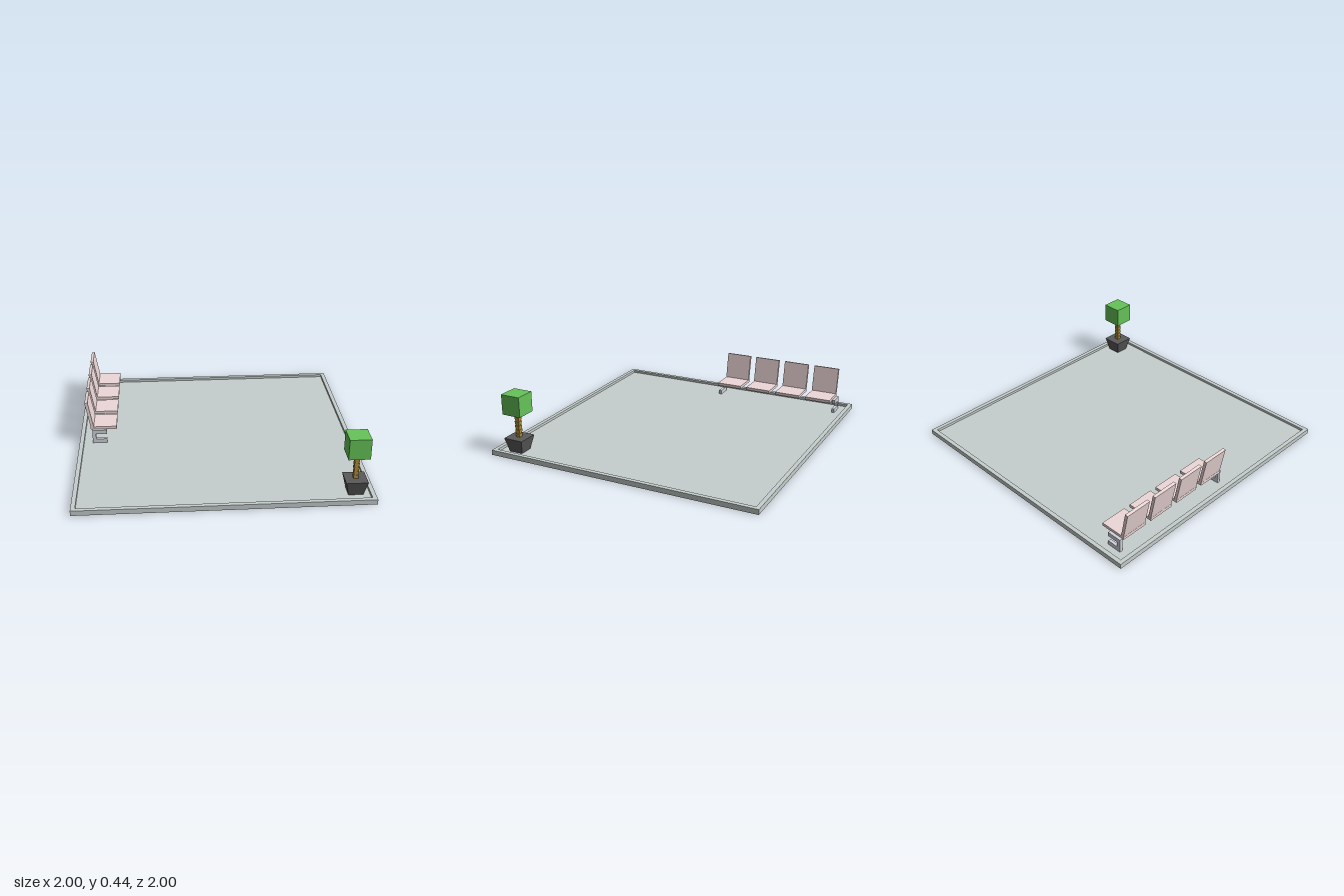
import * as THREE from 'three';

const paint = (color) => new THREE.MeshStandardMaterial({ color, flatShading: true });

export function createModel() {
  const root = new THREE.Group();
  root.name = 'waitingRoom';
  const floorY = 0.017;
  const mats = {
    floor: paint(0xc6cfcd), seat: paint(0xeed8d8), leg: paint(0xd2d5de),
    pot: paint(0x5a5a5a), trunk: paint(0xb8963c), leaf: paint(0x66c458),
  };

  const add = (parent, name, geometry, material, x = 0, y = 0, z = 0) => {
    const mesh = new THREE.Mesh(geometry, material);
    mesh.name = name;
    mesh.position.set(x, y, z);
    parent.add(mesh);
    return mesh;
  };
  const box = (w, h, d) => new THREE.BoxGeometry(w, h, d);
  // Square frustum with sides parallel to the axes
  const frustum = (top, bottom, h) =>
    new THREE.CylinderGeometry(top / Math.SQRT2, bottom / Math.SQRT2, h, 4).rotateY(Math.PI / 4);
  const square = (shape, s) => {
    shape.moveTo(-s, -s);
    shape.lineTo(s, -s);
    shape.lineTo(s, s);
    shape.lineTo(-s, s);
    shape.closePath();
    return shape;
  };

  // Floor slab with a raised border
  const border = square(new THREE.Shape(), 1);
  border.holes.push(square(new THREE.Path(), 0.97));
  const borderGeo = new THREE.ExtrudeGeometry(border, { depth: 0.036, bevelEnabled: false });
  add(root, 'floorBorder', borderGeo.rotateX(-Math.PI / 2), mats.floor);
  add(root, 'floor', box(1.94, floorY, 1.94), mats.floor, 0, floorY / 2, 0);

  // Row of four seats with reclined backs
  const bench = new THREE.Group();
  bench.name = 'bench';
  root.add(bench);
  for (let i = 0; i < 4; i++) {
    const z = -0.05 - i * 0.2475;
    add(bench, 'seat', box(0.19, 0.022, 0.197), mats.seat, -0.823, 0.127, z);
    const back = add(bench, 'seatBack', box(0.022, 0.197, 0.197), mats.seat, -0.923, 0.235, z);
    back.rotation.z = THREE.MathUtils.degToRad(10);
  }

  // C-shaped end legs, open towards the room
  const c = new THREE.Shape();
  [[0, 0], [0.105, 0], [0.105, 0.031], [0.026, 0.031], [0.026, 0.071],
    [0.105, 0.071], [0.105, 0.102], [0, 0.102]]
    .forEach(([x, y], i) => (i ? c.lineTo(x, y) : c.moveTo(x, y)));
  const legGeo = new THREE.ExtrudeGeometry(c, { depth: 0.022, bevelEnabled: false });
  for (const z of [0.049, -0.913]) add(bench, 'leg', legGeo, mats.leg, -0.906, floorY, z);

  // Potted plant with a ringed trunk and cubic crown
  const plant = new THREE.Group();
  plant.name = 'plant';
  plant.position.set(0.874, 0, 0.851);
  root.add(plant);
  add(plant, 'pot', frustum(0.148, 0.1, 0.103), mats.pot, 0, floorY + 0.0515, 0);
  add(plant, 'trunkCore', box(0.025, 0.19, 0.025), mats.trunk, 0, 0.21, 0);
  for (let i = 0; i < 6; i++) {
    add(plant, 'trunkRing', frustum(0.035, 0.031, 0.024), mats.trunk, 0, 0.133 + i * 0.0305, 0);
  }
  add(plant, 'crown', box(0.146, 0.146, 0.146), mats.leaf, 0, 0.37, 0);

  return root;
}
